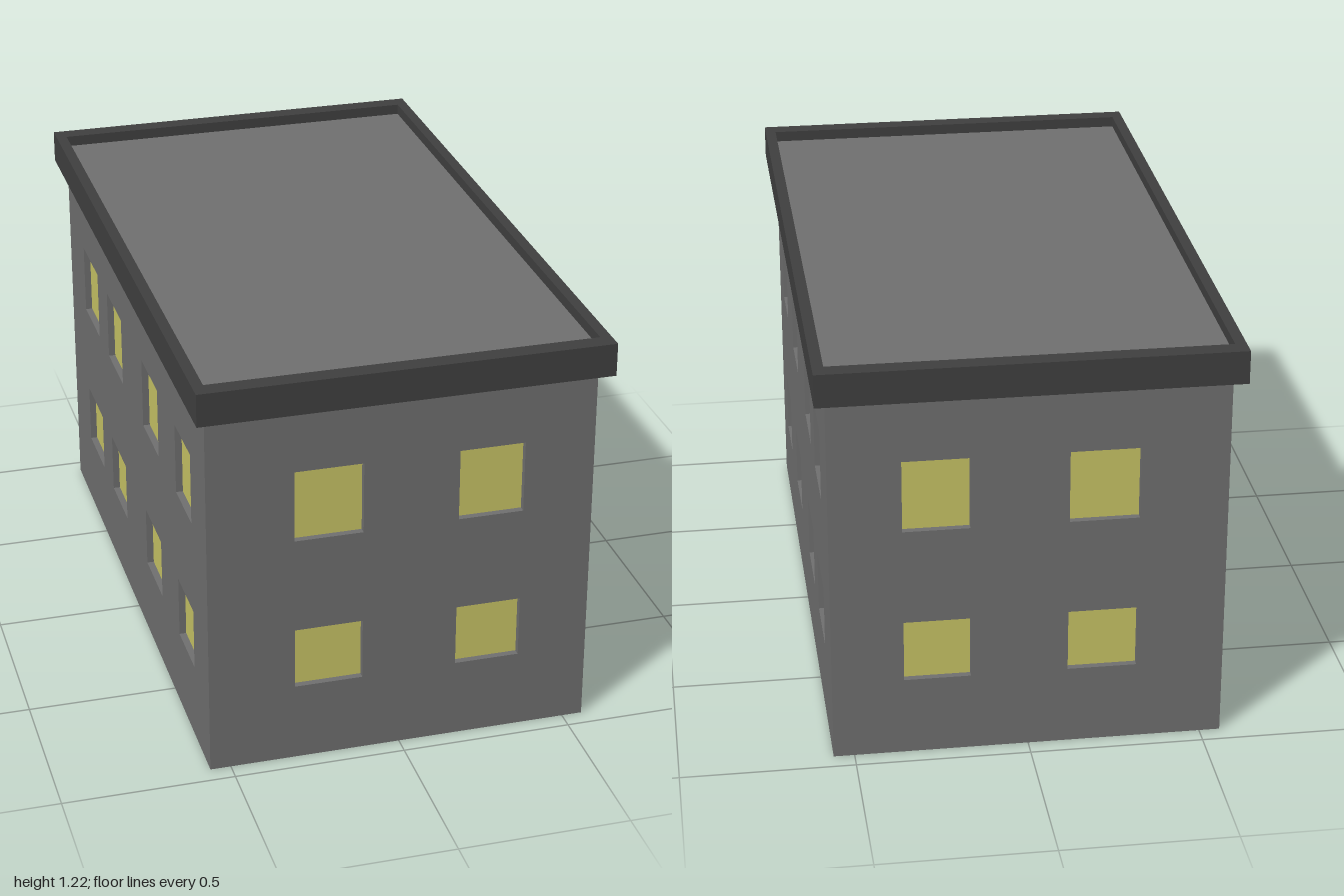
import * as THREE from 'three';

const W = 0.56, D = 0.947;            // half width and half depth of the walls
const ROOF = 1.185, RECESS = 0.022;   // roof deck height, window recess
const ROWS = [[0.235, 0.42], [0.705, 0.92]];
const END_X = [[-0.31, -0.112], [0.165, 0.355]];
const SIDE_Z = [[-0.72, -0.5], [-0.355, -0.145], [0.145, 0.355], [0.58, 0.77]];

const wallMat = new THREE.MeshStandardMaterial({ color: 0x707070 });
const trimMat = new THREE.MeshStandardMaterial({ color: 0x404040 });
const glassMat = new THREE.MeshStandardMaterial({ color: 0xc8c466 });

function rect(Type, x0, x1, y0, y1) {
  return new Type([[x0, y0], [x1, y0], [x1, y1], [x0, y1]].map(p => new THREE.Vector2(...p)));
}

function addMesh(parent, name, geometry, material) {
  const mesh = new THREE.Mesh(geometry, material);
  mesh.name = name;
  parent.add(mesh);
  return mesh;
}

// One wall with window openings, its outer face at the given distance along local +z
function makeWall(name, half, distance, columns, flip, angle) {
  const wall = new THREE.Group();
  wall.name = name;
  const shape = rect(THREE.Shape, -half, half, 0, ROOF);
  for (const column of columns) {
    const [x0, x1] = flip ? [-column[1], -column[0]] : column;
    for (const [y0, y1] of ROWS) {
      shape.holes.push(rect(THREE.Path, x0, x1, y0, y1));
      const pane = addMesh(wall, 'windowPane', new THREE.PlaneGeometry(x1 - x0, y1 - y0), glassMat);
      pane.position.set((x0 + x1) / 2, (y0 + y1) / 2, distance - RECESS + 0.002);
    }
  }
  const panel = new THREE.ExtrudeGeometry(shape, { depth: RECESS, bevelEnabled: false });
  panel.translate(0, 0, distance - RECESS);
  addMesh(wall, 'wallPanel', panel, wallMat);
  wall.rotation.y = angle;
  return wall;
}

export function createModel() {
  const model = new THREE.Group();
  model.name = 'building';

  // Solid core: floor underside and roof deck
  const core = addMesh(model, 'coreAndRoofDeck',
    new THREE.BoxGeometry(2 * (W - RECESS), ROOF, 2 * (D - RECESS)), wallMat);
  core.position.y = ROOF / 2;

  // Four walls; the side walls fit between the end walls
  model.add(
    makeWall('frontWall', W, D, END_X, false, 0),
    makeWall('backWall', W, D, END_X, true, Math.PI),
    makeWall('leftWall', D - RECESS, W, SIDE_Z, true, Math.PI / 2),
    makeWall('rightWall', D - RECESS, W, SIDE_Z, false, -Math.PI / 2),
  );

  // Overhanging parapet ring around the roof
  const ring = rect(THREE.Shape, -0.592, 0.592, -1, 1);
  ring.holes.push(rect(THREE.Path, -W, W, -D, D));
  const parapet = new THREE.ExtrudeGeometry(ring, { depth: 0.097, bevelEnabled: false });
  parapet.rotateX(-Math.PI / 2);
  addMesh(model, 'parapet', parapet, trimMat).position.y = 1.12;

  return model;
}
